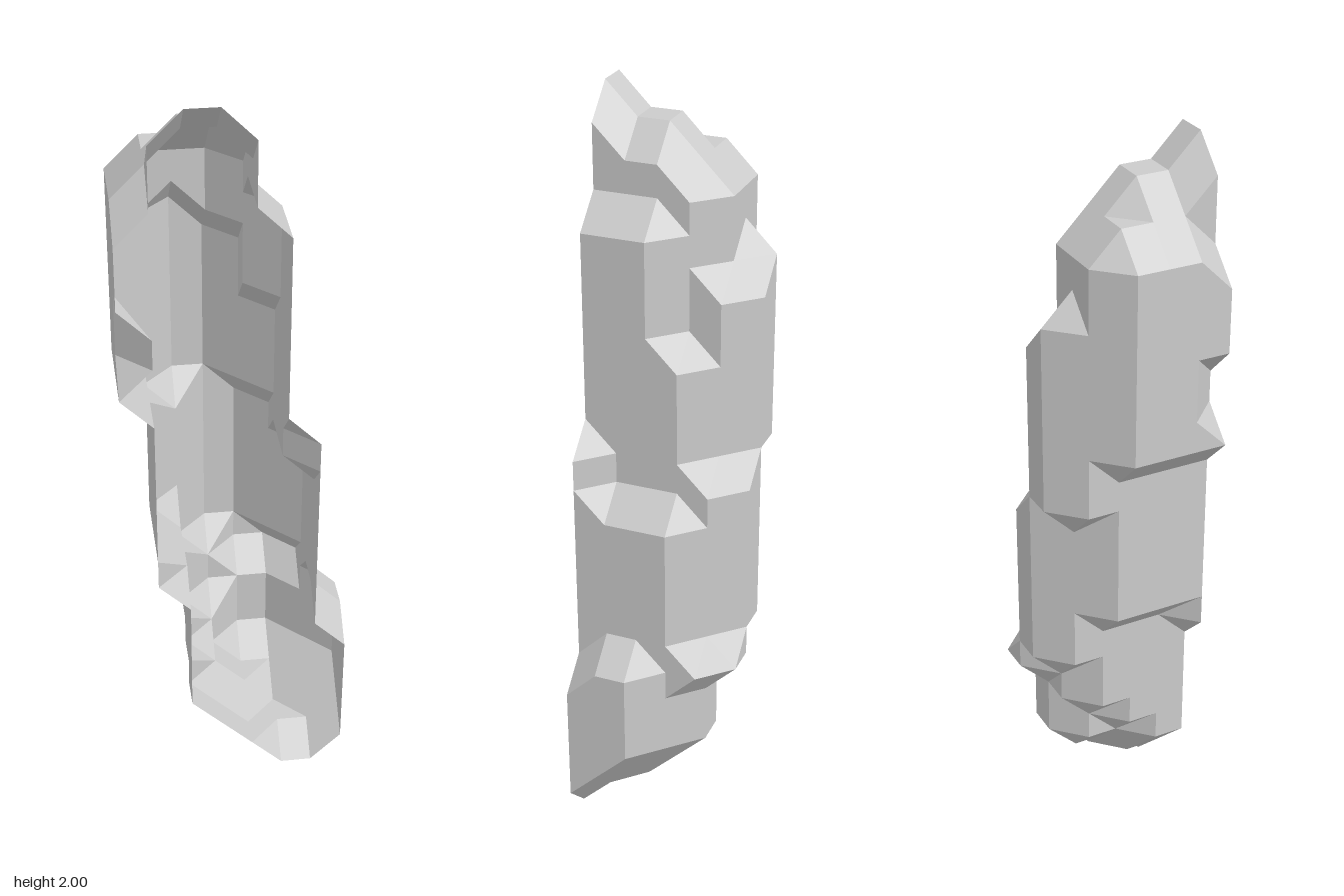
import * as THREE from 'three';

const STEP = 1 / 12;

// Layers from top (y = 23) to bottom (y = 1). Each digit is the rearmost
// filled depth (1 = far back, 5 = front edge, 6 = empty) for columns x = 1..6.
const LAYERS = [
  '655666', '633666', '222666', '222366', '212366', '211366', '211366', '211266',
  '211266', '611266', '611256', '621156', '621126', '621126', '621126', '651126',
  '661126', '662113', '662223', '663223', '664223', '666434', '666655',
];
// Small notches along the front rim
const NOTCHES = ['1,21,5', '1,17,5', '1,16,5', '6,6,5'];

const filled = ([x, y, z]) =>
  x >= 1 && x <= 6 && y >= 1 && y <= 23 && z >= Number(LAYERS[23 - y][x - 1]) &&
  !NOTCHES.includes([x, y, z].join());

// The six faces of a cell, corners anticlockwise seen from outside
const FACES = [];
for (let a = 0; a < 3; a++) {
  for (const side of [0, 1]) {
    const ring = [[0, 0], [1, 0], [1, 1], [0, 1]].map(([u, v]) => {
      const p = [0, 0, 0];
      p[a] = side;
      p[(a + 1) % 3] = u;
      p[(a + 2) % 3] = v;
      return p;
    });
    FACES.push(side ? ring : ring.reverse());
  }
}

// Surface loops of one cell: each crossing edge is placed at its empty corner
function cellLoops(origin) {
  const next = new Map();
  const place = new Map();
  for (const face of FACES) {
    const c = face.map((o) => o.map((v, i) => v + origin[i]));
    const inside = c.map(filled);
    for (let k = 0; k < 4; k++) {
      if (!inside[k] || inside[(k + 1) % 4]) continue;
      const exit = c[k].join() + '>' + c[(k + 1) % 4].join();
      let m = (k + 1) % 4;
      while (!inside[(m + 1) % 4]) m = (m + 1) % 4;
      const entry = c[(m + 1) % 4].join() + '>' + c[m].join();
      place.set(exit, c[(k + 1) % 4]);
      place.set(entry, c[m]);
      next.set(entry, exit);
    }
  }
  const loops = [];
  while (next.size) {
    const loop = [];
    let key = next.keys().next().value;
    while (next.has(key)) {
      const p = place.get(key);
      if (!loop.length || loop[loop.length - 1].join() !== p.join()) loop.push(p);
      const following = next.get(key);
      next.delete(key);
      key = following;
    }
    if (loop.length > 1 && loop[0].join() === loop[loop.length - 1].join()) loop.pop();
    if (loop.length > 2) loops.push(loop);
  }
  return loops;
}

// Bent four-sided facets fold outward, except those facing down and to -x
function foldOutward(pts) {
  if (pts.length !== 4) return;
  const [a, b, c, d] = pts;
  const facing = c.clone().sub(a).cross(d.clone().sub(b));
  const normal = b.clone().sub(a).cross(c.clone().sub(a));
  const hollow = normal.dot(d.clone().sub(a)) > 1e-7;
  if (hollow && !(facing.x < -1e-6 && facing.y < -1e-6)) pts.push(pts.shift());
}

// Faceted shell, left open along its flat front
function shellGeometry() {
  const positions = [];
  const toPoint = ([x, y, z]) =>
    new THREE.Vector3((x - 3.5) * STEP, y * STEP, (z - 2.5) * STEP);
  for (let x = 0; x < 7; x++) {
    for (let y = 0; y < 24; y++) {
      for (let z = 0; z < 5; z++) {
        for (const loop of cellLoops([x, y, z])) {
          const pts = loop.map(toPoint);
          foldOutward(pts);
          for (let i = 1; i < pts.length - 1; i++) {
            const tri = new THREE.Triangle(pts[0], pts[i], pts[i + 1]);
            if (tri.getArea() < 1e-6) continue;
            for (const p of [tri.a, tri.b, tri.c]) positions.push(p.x, p.y, p.z);
          }
        }
      }
    }
  }
  const geometry = new THREE.BufferGeometry();
  geometry.setAttribute('position', new THREE.Float32BufferAttribute(positions, 3));
  geometry.computeVertexNormals();
  return geometry;
}

export function createModel() {
  const group = new THREE.Group();
  group.name = 'facetedShell';
  const material = new THREE.MeshStandardMaterial({
    color: 0xcccccc, flatShading: true, side: THREE.DoubleSide,
  });
  const shell = new THREE.Mesh(shellGeometry(), material);
  shell.name = 'openShell';
  group.add(shell);
  return group;
}
